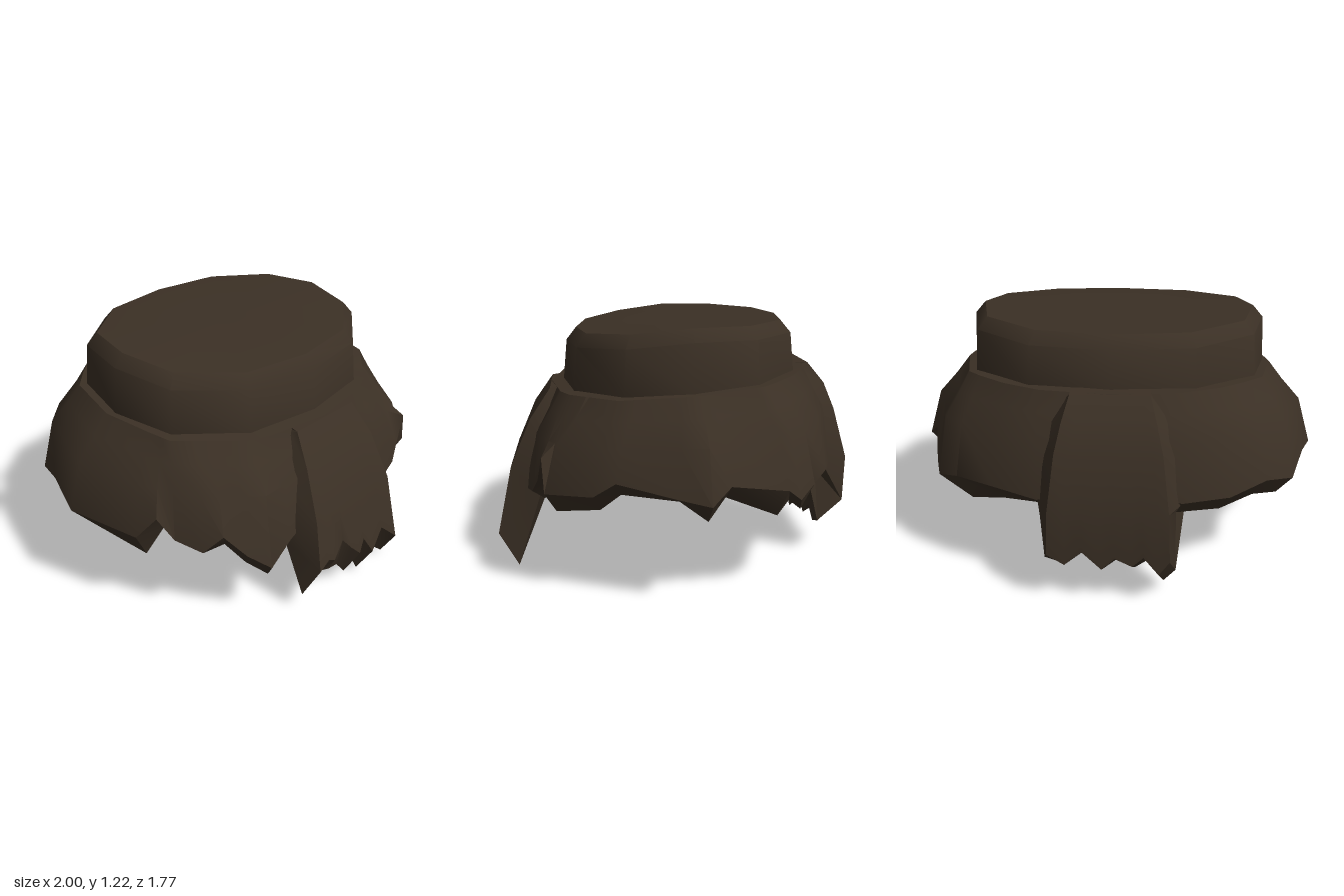
import * as THREE from 'three';
import { toCreasedNormals } from 'three/addons/utils/BufferGeometryUtils.js';

const cloth = new THREE.MeshStandardMaterial({ color: 0x3b3025 });
cloth.name = 'dark brown cloth';

// Skins neighbouring columns of points; columns run left to right, points top to bottom.
function loft(name, columns, closed, crease = 0.7) {
  const pos = [];
  const n = columns.length;
  for (let i = 0; i < (closed ? n : n - 1); i++) {
    const p = columns[i], q = columns[(i + 1) % n];
    for (let j = 0; j < p.length - 1; j++) {
      pos.push(...p[j], ...p[j + 1], ...q[j + 1], ...p[j], ...q[j + 1], ...q[j]);
    }
  }
  const geo = new THREE.BufferGeometry();
  geo.setAttribute('position', new THREE.Float32BufferAttribute(pos, 3));
  const mesh = new THREE.Mesh(toCreasedNormals(geo, crease), cloth);
  mesh.name = name;
  return mesh;
}

const mix = (p, q, t) => p + (q - p) * t;

// Corner k of a squarish twelve-sided ring of unit size
function corner(k) {
  const s = Math.sin(k * Math.PI / 6), c = Math.cos(k * Math.PI / 6), e = 2.38;
  const r = Math.pow(Math.abs(s) ** e + Math.abs(c) ** e, -1 / e);
  return [r * s, r * c];
}

// Point on that ring at angle a (0 = front), with height depending on z
function ring(a, halfX, back, front, height) {
  const k = Math.floor(a * 6 / Math.PI + 1e-6), t = a * 6 / Math.PI - k;
  const p = corner(k), q = corner(k + 1);
  const z = (front + back) / 2 + mix(p[1], q[1], t) * (front - back) / 2;
  return [mix(p[0], q[0], t) * halfX, height(z), z];
}
const angleOf = (x, z) => Math.atan2(x, z + 0.04);
const turn = ([x, y, z]) => [-x, y, -z];

const ledgeY = z => 0.927 - 0.08 * z;
const footY = z => 0.937 - 0.072 * z;
const capY = z => Math.min(1.215, 1.21 - 0.115 * z);

// Waistband: twelve-sided band with a bevelled, closed top
function makeWaistband() {
  const columns = [];
  for (let i = 0; i < 12; i++) {
    const a = i * Math.PI / 6;
    columns.push([
      [0, 1.213, -0.04],
      ring(a, 0.67, -0.55, 0.48, capY),
      ring(a, 0.72, -0.6, 0.53, z => capY(z) - 0.058),
      ring(a, 0.735, -0.62, 0.55, z => footY(z) - 0.01),
    ]);
  }
  return loft('waistband', columns, true, 0.75);
}

// Skirt hem: x, z, outer edge height, inner edge height
const skirtHem = [
  [0, 0.72, 0.55, 0.55], [0.3, 0.72, 0.52, 0.52], [0.36, 0.73, 0.41, 0.37], [0.5, 0.7, 0.44, 0.39],
  [0.57, 0.67, 0.51, 0.5], [0.65, 0.645, 0.64, 0.55], [0.68, 0.635, 0.48, 0.38], [0.81, 0.42, 0.5, 0.42],
  [0.85, 0.32, 0.57, 0.5], [0.95, 0.05, 0.52, 0.49], [1, -0.08, 0.5, 0.41], [0.94, -0.17, 0.57, 0.5],
  [0.87, -0.44, 0.52, 0.385], [0.85, -0.5, 0.47, 0.45], [0.74, -0.59, 0.51, 0.37], [0.55, -0.7, 0.52, 0.43],
  [0.33, -0.78, 0.5, 0.45], [0, -0.78, 0.58, 0.57], [-0.33, -0.78, 0.5, 0.42], [-0.55, -0.71, 0.5, 0.41],
  [-0.72, -0.63, 0.55, 0.45], [-0.86, -0.5, 0.5, 0.4], [-0.93, -0.3, 0.55, 0.48], [-1, -0.08, 0.5, 0.42],
  [-0.9, 0.27, 0.47, 0.33], [-0.85, 0.36, 0.59, 0.5], [-0.8, 0.42, 0.48, 0.43], [-0.74, 0.54, 0.44, 0.39],
  [-0.68, 0.61, 0.53, 0.44], [-0.6, 0.68, 0.42, 0.33], [-0.51, 0.75, 0.34, 0.25], [-0.36, 0.73, 0.41, 0.36],
];
const skirtLip = skirtHem.map(([x, z, , yIn]) => [x * 0.92, yIn, z * 0.92]);

function makeSkirt() {
  const columns = skirtHem.map(([x, z, yOut], i) => {
    const a = angleOf(x, z);
    const top = ring(a, 0.77, -0.68, 0.61, ledgeY);
    const bulge = (t, drop) => [mix(top[0], x, t), top[1] - drop, mix(top[2], z, t)];
    return [
      ring(a, 0.69, -0.575, 0.505, footY), // ledge tucked under the waistband
      top,
      bulge(0.3, 0.09),
      bulge(0.7, 0.195),
      [x, yOut, z],
      skirtLip[i], // slanted hem
    ];
  });
  return loft('skirt', columns, true);
}

// Hanging panels. face and wall rows: half width, height, z. hem: x, outer height, inner height.
// seams: where the left and right walls meet the skirt's inner edge.
const frontPanel = {
  face: [[0.2, 0.89, 0.52], [0.205, 0.875, 0.615], [0.245, 0.73, 0.715], [0.28, 0.5, 0.815]],
  wall: [[0.2, 0.87, 0.52], [0.215, 0.86, 0.58], [0.29, 0.7, 0.62], [0.335, 0.48, 0.67]],
  hem: [
    [-0.3, 0.26, 0.1], [-0.23, 0.29, 0.13], [-0.19, 0.27, 0.17], [-0.12, 0.34, 0.14], [-0.06, 0.27, 0.13],
    [0, 0.21, 0.05], [0.04, 0.27, 0.12], [0.1, 0.17, 0.01], [0.19, 0.26, 0.1], [0.3, 0.16, 0],
  ],
  hemZ: y => 0.92 - 0.2 * y,
  lipZ: 0.79,
  lipX: 0.33,
  seams: [skirtLip[31], skirtLip[2]],
};
// The back panel is shaped facing forward, then turned round
const backPanel = {
  face: [[0.18, 0.98, 0.6], [0.18, 0.98, 0.69], [0.21, 0.88, 0.77], [0.24, 0.75, 0.82], [0.27, 0.5, 0.885]],
  wall: [[0.18, 0.96, 0.6], [0.2, 0.95, 0.65], [0.27, 0.85, 0.68], [0.31, 0.7, 0.72], [0.33, 0.48, 0.75]],
  hem: [
    [-0.28, 0.27, 0.17], [-0.2, 0.22, 0.14], [-0.12, 0.29, 0.2], [-0.03, 0.2, 0.12],
    [0.03, 0.26, 0.17], [0.11, 0.22, 0.13], [0.16, 0.27, 0.17], [0.23, 0.18, 0.06], [0.28, 0.25, 0.12],
  ],
  hemZ: () => 0.875,
  lipZ: 0.74,
  lipX: 0.31,
  seams: [turn(skirtLip[16]), turn(skirtLip[18])],
};

// Inner lower edge of a panel, left to right
function panelLip({ hem, lipX, lipZ }) {
  const half = hem[hem.length - 1][0];
  return hem.map(([x, , yIn]) => [x / half * lipX, yIn, lipZ]);
}

function makePanel(name, panel) {
  const { face, wall, hem, hemZ, seams } = panel;
  const half = hem[hem.length - 1][0];
  const lips = panelLip(panel);
  const columns = hem.map(([x, yOut], i) => [
    ...face.map(([w, y, z]) => [x / half * w, y, z]),
    [x, yOut, hemZ(yOut)],
    lips[i],
  ]);
  const side = s => {
    const i = s < 0 ? 0 : hem.length - 1;
    const rear = [...wall.map(([w, y, z]) => [s * w, y, z]), seams[s < 0 ? 0 : 1], lips[i]];
    return loft(name + 'Side', s < 0 ? [rear, columns[i]] : [columns[i], rear], false);
  };
  const group = new THREE.Group();
  group.name = name;
  group.add(loft(name + 'Cloth', columns, false), side(-1), side(1));
  return group;
}

// Lining: shallow hollow closed just above the inner edges of the skirt and both panels
function makeLining() {
  const edge = [
    ...skirtLip.slice(2, 17),
    ...panelLip(backPanel).map(turn),
    ...skirtLip.slice(18),
    ...panelLip(frontPanel),
  ];
  const columns = edge.map(p => {
    const a = angleOf(p[0], p[2]);
    return [
      p,
      ring(a, 0.86, -0.68, 0.62, () => 0.57),
      ring(a, 0.74, -0.57, 0.51, () => 0.63),
      [0, 0.65, -0.04],
    ];
  });
  return loft('lining', columns, true, 1.2);
}

export function createModel() {
  const model = new THREE.Group();
  model.name = 'raggedSkirt';
  const back = makePanel('backPanel', backPanel);
  back.rotation.y = Math.PI;
  model.add(makeWaistband(), makeSkirt(), makeLining(), makePanel('frontPanel', frontPanel), back);
  return model;
}
